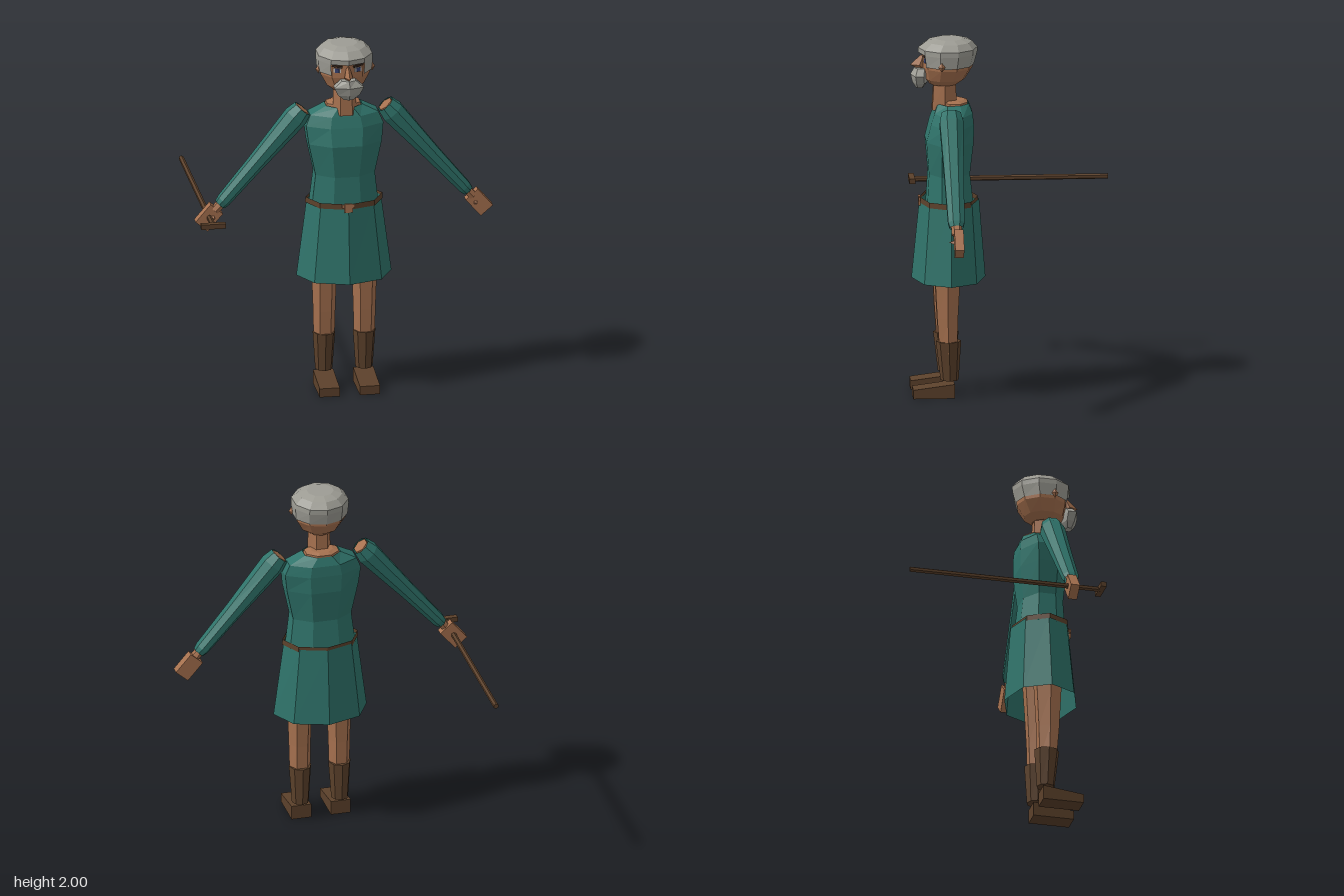
import * as THREE from 'three';

const mat = (name, color, side = THREE.FrontSide) =>
  Object.assign(new THREE.MeshStandardMaterial({ color, side }), { name });

const cloth = mat('teal cloth', 0x2f736a, THREE.DoubleSide);
const skin = mat('skin', 0xa6714f);
const hairGrey = mat('grey hair', 0x9d9c94, THREE.DoubleSide);
const leather = mat('brown leather', 0x5c412b, THREE.DoubleSide);
const eyeWhite = mat('eye white', 0xb9b4b0);
const eyeBlue = mat('eye blue', 0x35406f);
const browDark = mat('dark brow', 0x3a2a20);

// Faceted skin over stacked horizontal rings, listed bottom to top: [y, rx, zBack, zFront, cx].
// half: turn by half a side so that flat sides face the axes; from/to: range of sides to build.
function loft(rings, n, { half = false, caps = true, from = 0, to = n } = {}) {
  const grow = half ? 1 / Math.cos(Math.PI / n) : 1;
  const point = ([y, rx, z0, z1, cx = 0], j) => {
    const a = ((j + (half ? 0.5 : 0)) / n) * Math.PI * 2;
    return [cx + Math.sin(a) * rx * grow, y, (z0 + z1) / 2 + Math.cos(a) * ((z1 - z0) / 2) * grow];
  };
  const middle = ([y, , z0, z1, cx = 0]) => [cx, y, (z0 + z1) / 2];
  const first = rings[0], last = rings[rings.length - 1];
  const out = [];
  for (let j = from; j < to; j++) {
    for (let i = 0; i < rings.length - 1; i++) {
      const a = point(rings[i], j), b = point(rings[i], j + 1);
      const c = point(rings[i + 1], j + 1), d = point(rings[i + 1], j);
      out.push(...a, ...b, ...c, ...a, ...c, ...d);
    }
    if (caps) {
      out.push(...middle(last), ...point(last, j), ...point(last, j + 1));
      out.push(...middle(first), ...point(first, j + 1), ...point(first, j));
    }
  }
  const g = new THREE.BufferGeometry();
  g.setAttribute('position', new THREE.Float32BufferAttribute(out, 3));
  g.computeVertexNormals();
  return g;
}

function add(parent, name, geometry, material, x = 0, y = 0, z = 0) {
  const m = new THREE.Mesh(geometry, material);
  m.name = name;
  m.position.set(x, y, z);
  parent.add(m);
  return m;
}

const named = (parent, name) => {
  const g = new THREE.Group();
  g.name = name;
  parent.add(g);
  return g;
};
const box = (w, h, d) => new THREE.BoxGeometry(w, h, d);

function buildClothes(model) {
  add(model, 'tunic', loft([
    [1.07, 0.185, 0.225, 0.48], [1.247, 0.165, 0.245, 0.47], [1.43, 0.203, 0.225, 0.485],
    [1.53, 0.215, 0.225, 0.46], [1.59, 0.19, 0.23, 0.44], [1.637, 0.1, 0.25, 0.42],
  ], 8, { half: true, caps: false }), cloth);
  add(model, 'collar', loft([
    [1.56, 0.12, 0.26, 0.40], [1.645, 0.092, 0.255, 0.40], [1.655, 0.06, 0.275, 0.39],
  ], 8, { half: true }), skin);
  add(model, 'skirt', loft([[0.65, 0.265, 0.155, 0.563], [1.09, 0.208, 0.19, 0.52]], 8, { caps: false }), cloth);
  add(model, 'belt', loft([[1.075, 0.216, 0.196, 0.522], [1.106, 0.214, 0.198, 0.52]], 8, { caps: false }), leather);
  const buckle = add(model, 'buckle', box(0.045, 0.05, 0.012), skin, 0, 1.085, 0.52);
  add(buckle, 'buckleBar', box(0.07, 0.02, 0.01), skin, 0, 0.012, 0);
}

function buildHead(model) {
  const head = named(model, 'head');
  add(head, 'neck', loft([[1.6, 0.057, 0.315, 0.45], [1.77, 0.054, 0.32, 0.44]], 6, { half: true }), skin);
  add(head, 'skull', loft([
    [1.743, 0.065, 0.31, 0.46], [1.775, 0.108, 0.265, 0.49], [1.84, 0.145, 0.225, 0.505],
    [1.95, 0.148, 0.215, 0.505],
  ], 10), skin);
  // Hair: full crown, with a lower band left open over the face
  add(head, 'crownHair', loft([
    [1.922, 0.159, 0.2, 0.525], [1.95, 0.157, 0.199, 0.527], [1.985, 0.122, 0.23, 0.48], [2, 0.075, 0.28, 0.43],
  ], 10), hairGrey);
  add(head, 'sideHair', loft([[1.855, 0.154, 0.218, 0.515], [1.922, 0.159, 0.2, 0.525]],
    10, { caps: false, from: 1, to: 9 }), hairGrey);
  add(head, 'beard', loft([
    [1.725, 0.03, 0.495, 0.54], [1.755, 0.07, 0.475, 0.558], [1.8, 0.094, 0.475, 0.568], [1.836, 0.045, 0.475, 0.55],
  ], 6), hairGrey);
  add(head, 'nose', loft([
    [1.832, 0.016, 0.47, 0.53], [1.852, 0.023, 0.47, 0.57], [1.905, 0.008, 0.48, 0.515],
  ], 4), skin);

  for (const s of [-1, 1]) {
    // Each eye lies on the slanted face panel
    const eye = named(head, s > 0 ? 'leftEye' : 'rightEye');
    eye.position.set(s * 0.058, 1.885, 0.488);
    eye.rotation.y = s * 0.33;
    add(eye, 'eyeball', box(0.042, 0.024, 0.006), eyeWhite);
    add(eye, 'iris', box(0.024, 0.024, 0.006), eyeBlue, 0, 0, 0.003);
    add(eye, 'brow', box(0.06, 0.011, 0.009), browDark, 0, 0.024, 0.003).rotation.z = s * 0.12;
    const ear = add(head, s > 0 ? 'leftEar' : 'rightEar', new THREE.OctahedronGeometry(1), skin, s * 0.15, 1.868, 0.405);
    ear.scale.set(0.016, 0.026, 0.02);
  }
}

function buildArm(model, s) {
  // Hangs along local -y from the shoulder, swung outwards
  const arm = named(model, s > 0 ? 'leftArm' : 'rightArm');
  arm.position.set(s * 0.23, 1.625, 0.36);
  arm.rotation.z = s * 0.711;
  const round = (y, rx, rz) => [y, rx, -rz, rz];
  add(arm, 'sleeve', loft([
    round(-0.705, 0.03, 0.036), round(-0.675, 0.036, 0.045), round(-0.4, 0.045, 0.053),
    round(-0.06, 0.063, 0.065), round(0, 0.05, 0.053),
  ], 8, { half: true, caps: false }), cloth);
  add(arm, 'innerArm', loft([
    round(-0.75, 0.026, 0.027), round(-0.68, 0.026, 0.03), round(0, 0.046, 0.047),
  ], 6), skin);
  add(arm, 'hand', box(0.09, 0.13, 0.05), skin, 0, -0.8, -0.01);
  const thumb = add(arm, 'thumb', new THREE.ConeGeometry(0.02, 0.045, 4), skin, -s * 0.015, -0.785, 0.022);
  thumb.rotation.x = Math.PI / 2;
}

function buildLeg(model, s) {
  const leg = named(model, s > 0 ? 'leftLeg' : 'rightLeg');
  const x = s * 0.112;
  add(leg, 'shin', loft([
    [0.25, 0.05, 0.32, 0.415, x], [0.45, 0.054, 0.315, 0.43, x], [0.65, 0.06, 0.305, 0.44, x],
    [1.06, 0.072, 0.28, 0.45, x],
  ], 6, { half: true }), skin);
  add(leg, 'boot', loft([[0.095, 0.048, 0.31, 0.41, x], [0.315, 0.063, 0.296, 0.436, x]], 8), leather);
  // Shoe block with its top sloping down to the toe
  const shoe = box(0.112, 0.08, 0.228);
  const p = shoe.attributes.position;
  for (let i = 0; i < p.count; i++) if (p.getY(i) > 0 && p.getZ(i) > 0) p.setY(i, 0.01);
  const flat = shoe.toNonIndexed();
  flat.computeVertexNormals();
  add(leg, 'shoe', flat, leather, x, 0.04, 0.449);
}

function buildCane(model) {
  const cane = named(model, 'walkingStick');
  const shaft = new THREE.CylinderGeometry(0.015, 0.015, 1.08, 6).toNonIndexed();
  shaft.computeVertexNormals();
  add(cane, 'shaft', shaft, leather, -0.752, 1.022, -0.03).rotation.x = Math.PI / 2;
  add(cane, 'handle', box(0.138, 0.028, 0.032), leather, -0.752, 1.024, 0.512);
}

export function createModel() {
  const model = new THREE.Group();
  model.name = 'oldMan';
  buildClothes(model);
  buildHead(model);
  for (const s of [-1, 1]) {
    buildArm(model, s);
    buildLeg(model, s);
  }
  buildCane(model);
  return model;
}
